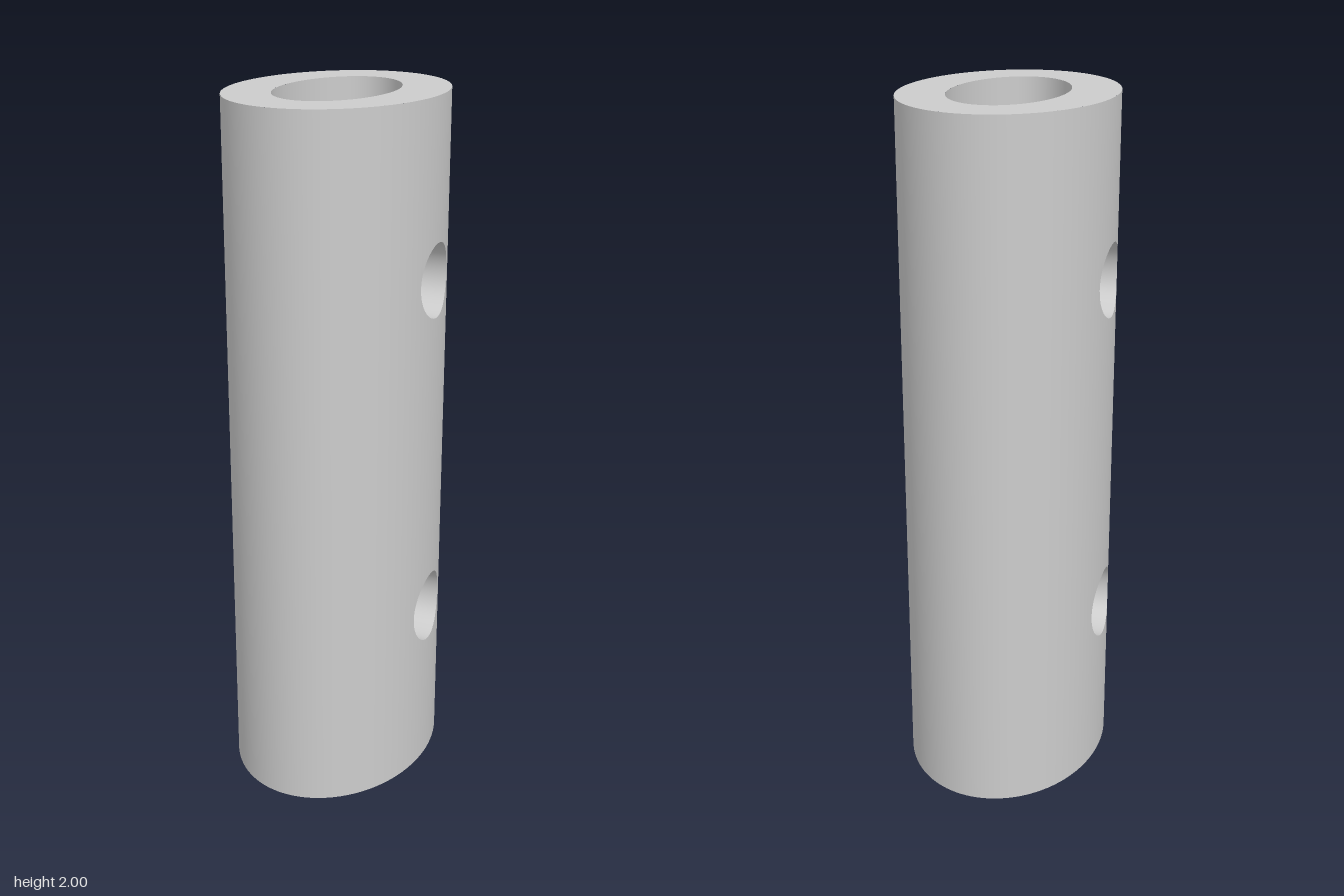
import * as THREE from 'three';
import { mergeGeometries } from 'three/addons/utils/BufferGeometryUtils.js';
import { ParametricGeometry } from 'three/addons/geometries/ParametricGeometry.js';

const HEIGHT = 2, HOLE_R = 0.105, HOLE_Y = [0.5, 1.5];
const OUTER = { rx: 0.295, rz: 0.385 }, INNER = { rx: 0.16, rz: 0.25 };
const W = 0.15;   // half size of the square panel around each hole
const { lerp } = THREE.MathUtils;

// Smooth patch facing du x dv; flip turns it around
const patch = (fn, nu, nv, flip = false) =>
  new ParametricGeometry((u, v, p) => fn(flip ? 1 - u : u, v, p), nu, nv);

// Point on the side of an elliptical wall; s = 1 is +x, s = -1 is -x
const onWall = (e, s, y, z, p) =>
  p.set(s * e.rx * Math.sqrt(1 - (z / e.rz) ** 2), y, s * z);

// Elliptical wall with a pair of round holes on each side
function wall(e, flip) {
  const parts = [];
  const a0 = Math.asin(W / e.rz);
  for (const s of [1, -1]) {
    // front or back arc
    parts.push(patch((u, v, p) => {
      const a = lerp(a0, Math.PI - a0, v);
      p.set(s * e.rx * Math.cos(a), u * HEIGHT, s * e.rz * Math.sin(a));
    }, 1, 40, flip));
    // plain bands below, between and above the holes
    for (const [y0, y1] of [[0, HOLE_Y[0] - W], [HOLE_Y[0] + W, HOLE_Y[1] - W], [HOLE_Y[1] + W, HEIGHT]]) {
      parts.push(patch((u, v, p) => onWall(e, s, lerp(y0, y1, u), lerp(-W, W, v), p), 1, 12, flip));
    }
    // panels blending from the round hole to a square
    const corners = [[W, W], [-W, W], [-W, -W], [W, -W]];
    for (const cy of HOLE_Y) {
      parts.push(patch((u, v, p) => {
        const t = v * Math.PI * 2 + Math.PI / 4;
        const k = Math.min(3, Math.floor(v * 4)), f = v * 4 - k;
        const a = corners[k], b = corners[(k + 1) % 4];
        const y = lerp(HOLE_R * Math.cos(t), lerp(a[0], b[0], f), u);
        const z = lerp(HOLE_R * Math.sin(t), lerp(a[1], b[1], f), u);
        onWall(e, s, cy + y, z, p);
      }, 5, 48, flip));
    }
  }
  return mergeGeometries(parts);
}

// Lining of one cross hole through one side
const lining = (s, cy) => patch((u, v, p) => {
  const t = u * Math.PI * 2 + Math.PI / 4;
  const y = cy + HOLE_R * Math.cos(t), z = HOLE_R * Math.sin(t);
  const inner = onWall(INNER, s, y, z, new THREE.Vector3());
  onWall(OUTER, s, y, z, p).lerp(inner, v);
}, 48, 1);

// Flat elliptical ring closing one end
const endRing = (y, flip) => patch((u, v, p) => {
  const a = u * Math.PI * 2;
  p.set(lerp(INNER.rx, OUTER.rx, v) * Math.cos(a), y, lerp(INNER.rz, OUTER.rz, v) * Math.sin(a));
}, 96, 1, flip);

export function createModel() {
  const group = new THREE.Group();
  group.name = 'drilledOvalTube';
  const grey = new THREE.MeshStandardMaterial({ color: 0xcccccc });
  grey.name = 'light grey';

  const add = (name, geometry) => {
    const mesh = new THREE.Mesh(geometry, grey);
    mesh.name = name;
    group.add(mesh);
  };

  add('outerWall', wall(OUTER, false));
  add('innerWall', wall(INNER, true));
  add('topRing', endRing(HEIGHT, false));
  add('bottomRing', endRing(0, true));
  for (const [s, side] of [[1, 'left'], [-1, 'right']]) {
    HOLE_Y.forEach((cy, i) => add(side + (i ? 'Upper' : 'Lower') + 'Hole', lining(s, cy)));
  }
  return group;
}
